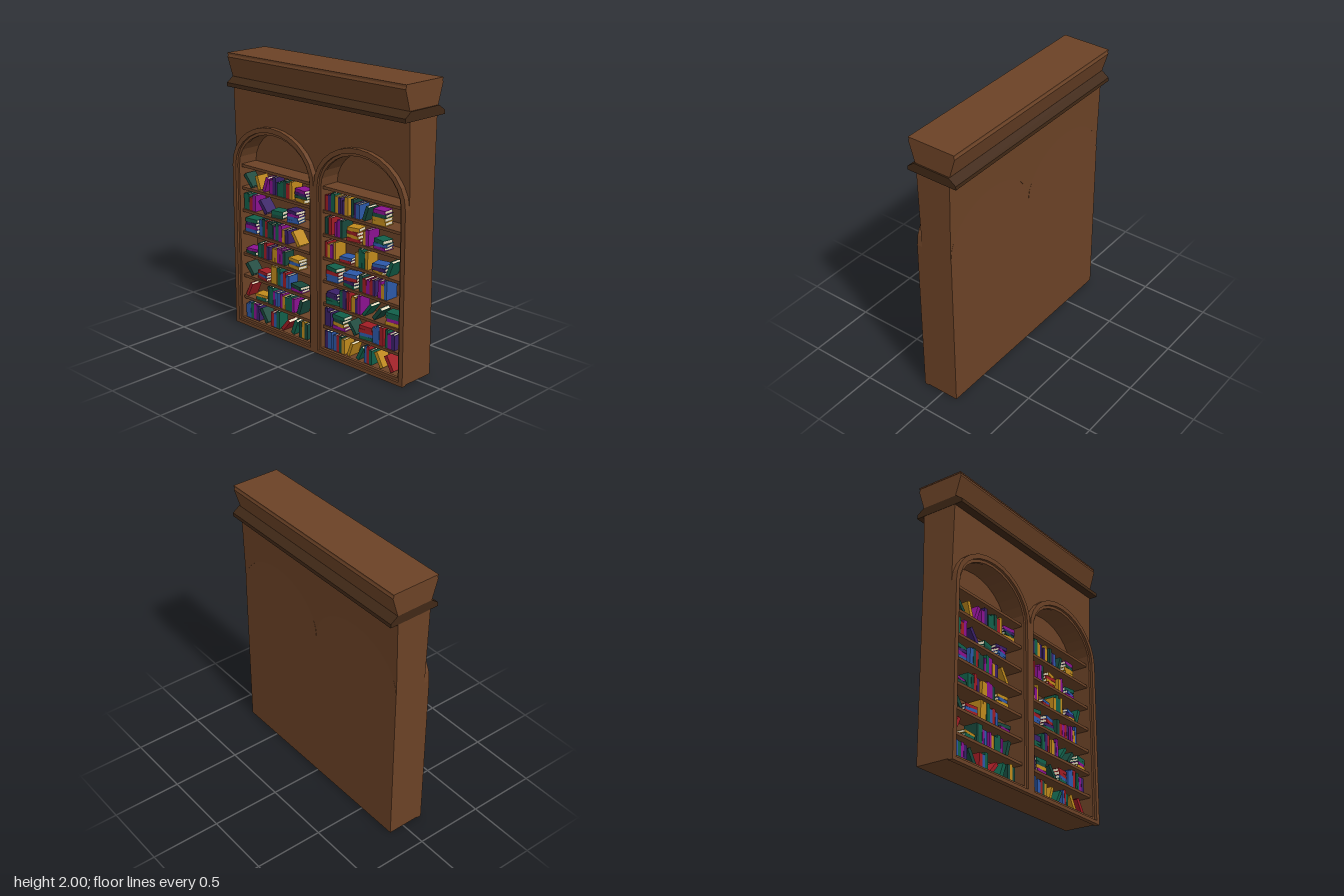
import * as THREE from 'three';
import { mergeGeometries } from 'three/addons/utils/BufferGeometryUtils.js';

const mat = (color) => new THREE.MeshStandardMaterial({ color, flatShading: true });
const wood = mat(0x6b4226);
const darkWood = mat(0x402816);
const paper = mat(0xe6dcc0);
const covers = [0x8a1290, 0x12604a, 0xa01c24, 0x2c58a8, 0xc08a1c, 0x3a2068, 0x17483c].map(mat);

const BAY = 0.81, HALF = BAY / 2, SPRING = 1.2, RISE = 0.325;
const BACK = 0.02, FACE = -0.122, INSET = 0.05;

let seed = 7;
const rand = (a = 0, b = 1) => {
  seed = (seed * 16807) % 2147483647;
  return a + (b - a) * (seed / 2147483647);
};

function add(parent, name, geometry, material, x = 0, y = 0, z = 0) {
  const mesh = new THREE.Mesh(geometry, material);
  mesh.name = name;
  mesh.position.set(x, y, z);
  parent.add(mesh);
  return mesh;
}

// Points of an arch's curve, from its right spring over the top to its left one
function archCurve(inset, centre = 0) {
  const pts = [];
  for (let i = 0; i <= 14; i++) {
    const a = (Math.PI * i) / 14;
    pts.push(new THREE.Vector2(centre + Math.cos(a) * (HALF - inset), SPRING + Math.sin(a) * (RISE - inset)));
  }
  return pts;
}

// Closed outline of an arched opening
function archOutline(inset, bottom) {
  const w = HALF - inset;
  return [new THREE.Vector2(-w, bottom), new THREE.Vector2(w, bottom), ...archCurve(inset)];
}

function archRing(outer, inner, bottom, sill) {
  const shape = new THREE.Shape(archOutline(outer, bottom));
  shape.holes.push(new THREE.Path(archOutline(inner, sill)));
  return shape;
}

// Extrudes an upright shape through the wall, from x0 to x1
function slab(shape, x0, x1) {
  return new THREE.ExtrudeGeometry(shape, { depth: x1 - x0, bevelEnabled: false })
    .translate(0, 0, x0).rotateY(Math.PI / 2);
}

// Unit book: spine towards -x, thickness along z
const coverGeometry = mergeGeometries([
  new THREE.BoxGeometry(1, 1, 0.14).translate(0, 0, 0.43),
  new THREE.BoxGeometry(1, 1, 0.14).translate(0, 0, -0.43),
  new THREE.BoxGeometry(0.06, 1, 0.72).translate(-0.47, 0, 0),
]);
const pageGeometry = new THREE.BoxGeometry(0.9, 0.92, 0.72);

function addBook(parent, depth, height, thick, y, z, tilt, turn = 0) {
  const book = new THREE.Group();
  book.name = 'book';
  add(book, 'bookCover', coverGeometry, covers[Math.floor(rand(0, covers.length))]);
  add(book, 'bookPages', pageGeometry, paper);
  book.scale.set(depth, height, thick);
  book.position.set(-0.108 + depth / 2, y, z);
  book.rotation.set(tilt, 0, turn);
  parent.add(book);
}

// Fills one shelf with upright runs, leaning books, flat stacks and gaps
function fillShelf(parent, y) {
  const end = HALF - INSET - 0.01;
  let z = -end;
  while (z < end - 0.13) {
    const kind = rand();
    if (kind < 0.5) {
      const count = 2 + Math.floor(rand(0, 4));
      for (let i = 0; i < count && z < end - 0.035; i++) {
        const t = rand(0.02, 0.034), h = rand(0.095, 0.132);
        addBook(parent, rand(0.085, 0.105), h, t, y + h / 2, z + t / 2, 0);
        z += t + 0.001;
      }
    } else if (kind < 0.72) {
      const t = rand(0.022, 0.032), h = rand(0.1, 0.12), lean = rand(0.3, 0.75);
      const foot = h * Math.sin(lean) + t * Math.cos(lean);
      const up = (h * Math.cos(lean) + t * Math.sin(lean)) / 2;
      addBook(parent, 0.095, h, t, y + up, z + foot / 2, rand() < 0.5 ? lean : -lean);
      z += foot;
    } else {
      const count = 2 + Math.floor(rand(0, 3));
      let top = y;
      for (let i = 0; i < count; i++) {
        const t = rand(0.018, 0.028);
        addBook(parent, 0.085, rand(0.095, 0.115), t, top + t / 2, z + 0.065, Math.PI / 2, rand(-0.2, 0.2));
        top += t;
      }
      z += 0.13;
    }
    z += rand(0.003, 0.03);
  }
}

function createBay(name, z) {
  const bay = new THREE.Group();
  bay.name = name;
  bay.position.z = z;
  // Arched case: hollow front and solid back
  add(bay, 'caseWall', slab(archRing(0, INSET, 0.008, 0.04), FACE, BACK), wood);
  add(bay, 'caseBack', slab(new THREE.Shape(archOutline(0, 0.008)), BACK, 0.12), wood);
  // Stepped moulding round the opening
  add(bay, 'outerMoulding', slab(archRing(0, 0.034, 0, 0.025), -0.157, FACE), wood);
  add(bay, 'innerMoulding', slab(archRing(0.034, 0.054, 0.02, 0.045), -0.14, FACE + 0.004), wood);
  // Shelves, with books on all but the top one
  const rows = 7, step = 0.166, first = 0.042;
  for (let i = 0; i <= rows; i++) {
    const y = first + i * step;
    if (i > 0) {
      add(bay, 'shelf', new THREE.BoxGeometry(BACK + 0.119, 0.02, BAY - 2 * INSET),
        wood, (BACK - 0.119) / 2, y - 0.01, 0);
    }
    if (i < rows) fillShelf(bay, y);
  }
  return bay;
}

// Wall above the two arches, flaring slightly towards the cornice
function spandrelGeometry() {
  const top = 1.775;
  const shape = new THREE.Shape([
    new THREE.Vector2(-BAY, top), new THREE.Vector2(-BAY, SPRING),
    ...archCurve(0, -HALF).reverse(), ...archCurve(0, HALF).reverse().slice(1),
    new THREE.Vector2(BAY, top),
  ]);
  const geometry = slab(shape, -1, 1);
  const p = geometry.attributes.position;
  for (let i = 0; i < p.count; i++) {
    const half = 0.117 + (0.013 * (p.getY(i) - SPRING)) / (top - SPRING);
    p.setX(i, Math.sign(p.getX(i)) * half);
  }
  geometry.computeVertexNormals();
  return geometry;
}

// Mirrored profile of [half width, height] pairs, run along z
function molding(profile, z0, z1) {
  const right = profile.map(([x, y]) => new THREE.Vector2(x, y));
  const left = profile.map(([x, y]) => new THREE.Vector2(-x, y)).reverse();
  return new THREE.ExtrudeGeometry(new THREE.Shape([...right, ...left]), { depth: z1 - z0, bevelEnabled: false })
    .translate(0, 0, z0);
}

export function createModel() {
  const model = new THREE.Group();
  model.name = 'archedBookcase';
  model.add(createBay('leftBay', -HALF), createBay('rightBay', HALF));
  add(model, 'spandrelWall', spandrelGeometry(), wood);
  // Cornice ledge, flared crown and cap
  add(model, 'corniceLedge', molding([[0.188, 1.765], [0.188, 1.792], [0.135, 1.83]], -0.812, 0.822), darkWood);
  add(model, 'crown', molding([[0.134, 1.828], [0.178, 1.97]], -0.812, 0.812), wood);
  add(model, 'cap', molding([[0.178, 1.97], [0.172, 1.985], [0.172, 1.992]], -0.812, 0.812), wood);
  add(model, 'capEdge', molding([[0.176, 1.99], [0.176, 2]], -0.815, 0.815), wood);
  return model;
}
